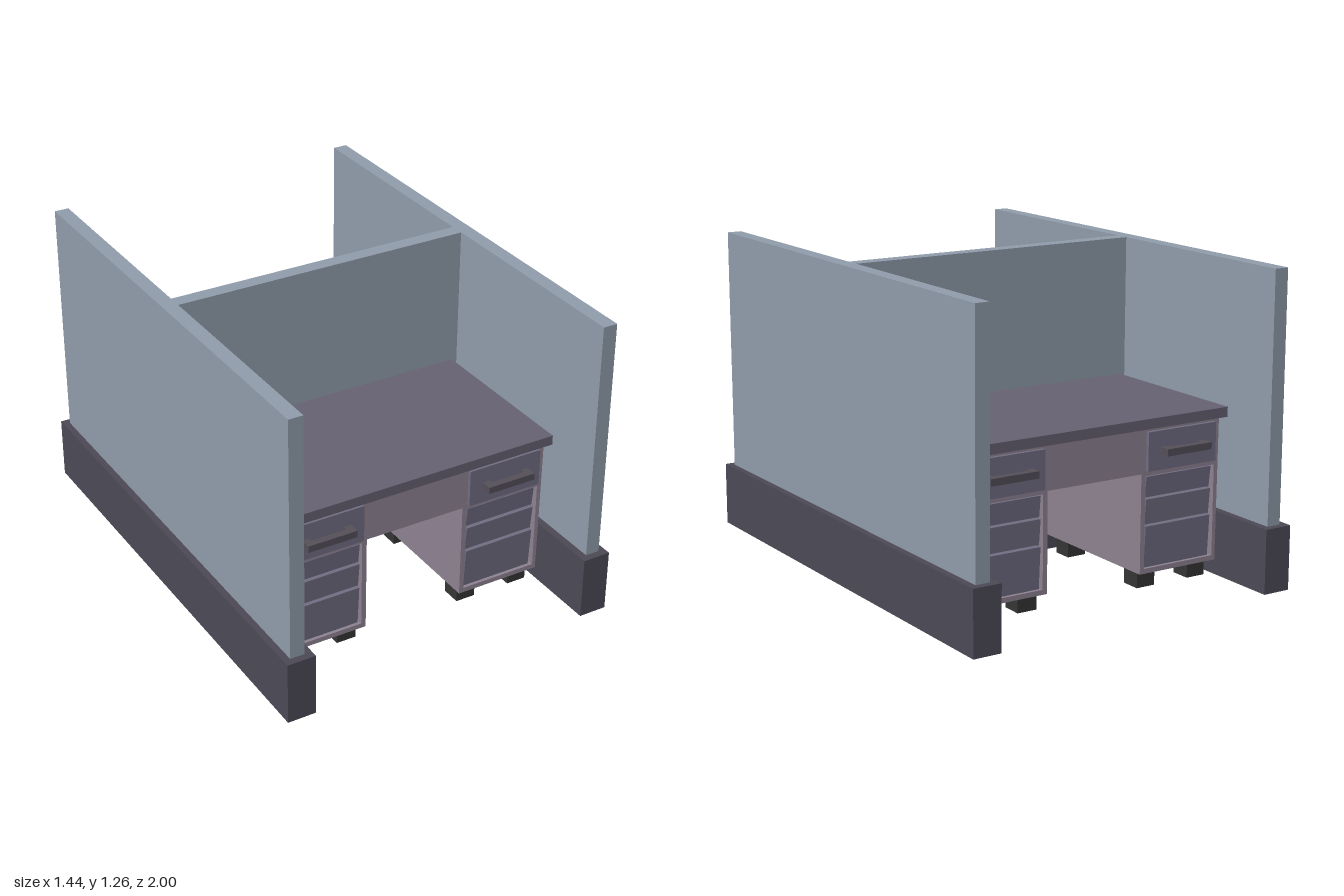
import * as THREE from 'three';

const mat = (color, side = THREE.FrontSide) => new THREE.MeshStandardMaterial({ color, side });
const panelMat = mat(0x8e9aa8), baseMat = mat(0x4b4855, THREE.DoubleSide), topMat = mat(0x656070);
const bodyMat = mat(0x8c808f), drawerMat = mat(0x6f6c81), handleMat = mat(0x544e58), footMat = mat(0x343434);

function add(parent, name, geometry, material) {
  const mesh = new THREE.Mesh(geometry, material);
  mesh.name = name;
  parent.add(mesh);
  return mesh;
}

// Box given by its limits on each axis
function box(x0, x1, y0, y1, z0, z1) {
  return new THREE.BoxGeometry(x1 - x0, y1 - y0, z1 - z0)
    .translate((x0 + x1) / 2, (y0 + y1) / 2, (z0 + z1) / 2);
}

const polygon = (points) => new THREE.Shape(points.map(([x, y]) => new THREE.Vector2(x, y)));

// H-shaped plan raised from y0 to y1
function hWall(outer, inner, end, half, y0, y1) {
  const plan = polygon([
    [-outer, -end], [-inner, -end], [-inner, -half], [inner, -half], [inner, -end], [outer, -end],
    [outer, end], [inner, end], [inner, half], [-inner, half], [-inner, end], [-outer, end],
  ]);
  return new THREE.ExtrudeGeometry(plan, { depth: y1 - y0, bevelEnabled: false })
    .rotateX(-Math.PI / 2).translate(0, y0, 0);
}

// Removes the lower cap (10 triangles) so the plinth is hollow underneath
function openBottom(geometry) {
  const open = new THREE.BufferGeometry();
  for (const key of ['position', 'normal']) {
    open.setAttribute(key, new THREE.BufferAttribute(geometry.attributes[key].array.slice(90), 3));
  }
  return open;
}

// Inverted U outline of the desk carcass
function carcassShape() {
  return polygon([
    [-0.58, 0.07], [-0.215, 0.07], [-0.215, 0.47], [0.215, 0.47],
    [0.215, 0.07], [0.58, 0.07], [0.585, 0.65], [-0.585, 0.65],
  ]);
}

// Drawer front whose lower edge leans back slightly
function slantedDrawer(x0, x1, y0, y1) {
  const g = box(x0, x1, y0, y1, 0.675, 0.711);
  const p = g.attributes.position;
  for (let i = 0; i < p.count; i++) {
    if (p.getZ(i) > 0.7 && p.getY(i) < (y0 + y1) / 2) p.setZ(i, 0.701);
  }
  g.computeVertexNormals();
  return g;
}

function createDesk() {
  const desk = new THREE.Group();
  add(desk, 'desktop', box(-0.607, 0.607, 0.65, 0.69, 0.03, 0.74), topMat);

  const carcass = new THREE.ExtrudeGeometry(carcassShape(), { depth: 0.635, bevelEnabled: false });
  add(desk, 'carcass', carcass.translate(0, 0, 0.05), bodyMat);

  // Face frame with a drawer opening on each side
  const frame = carcassShape();
  for (const s of [-1, 1]) {
    frame.holes.push(polygon([[s * 0.235, 0.09], [s * 0.565, 0.09], [s * 0.565, 0.46], [s * 0.235, 0.46]]));
  }
  const frameGeometry = new THREE.ExtrudeGeometry(frame, { depth: 0.03, bevelEnabled: false });
  add(desk, 'faceFrame', frameGeometry.translate(0, 0, 0.685), bodyMat);

  for (const s of [-1, 1]) {
    const pedestal = new THREE.Group();
    pedestal.name = s > 0 ? 'leftPedestal' : 'rightPedestal';
    pedestal.position.x = s * 0.398;
    desk.add(pedestal);

    add(pedestal, 'topDrawer', box(-0.162, 0.162, 0.48, 0.635, 0.7, 0.73), drawerMat);
    for (const [y0, y1] of [[0.09, 0.257], [0.263, 0.365], [0.371, 0.455]]) {
      add(pedestal, 'lowerDrawer', slantedDrawer(-0.155, 0.155, y0, y1), drawerMat);
    }

    // Bracket handle
    const bracket = polygon([
      [-0.105, -0.725], [-0.105, -0.777], [0.105, -0.777], [0.105, -0.725],
      [0.075, -0.725], [0.075, -0.748], [-0.075, -0.748], [-0.075, -0.725],
    ]);
    const handle = new THREE.ExtrudeGeometry(bracket, { depth: 0.028, bevelEnabled: false });
    add(pedestal, 'handle', handle.rotateX(-Math.PI / 2).translate(0, 0.543, 0), handleMat);

    for (const x of [-0.122, 0.122]) {
      for (const z of [0.16, 0.63]) {
        add(pedestal, 'foot', box(x - 0.042, x + 0.042, 0, 0.07, z - 0.042, z + 0.042), footMat);
      }
    }
  }
  return desk;
}

export function createModel() {
  const model = new THREE.Group();
  model.name = 'doubleCubicle';
  add(model, 'partitionPlinth', openBottom(hWall(0.718, 0.6, 1, 0.06, 0, 0.26)), baseMat);
  add(model, 'partitionPanels', hWall(0.69, 0.63, 0.97, 0.03, 0.26, 1.26), panelMat);

  // Two desks back to back
  const front = createDesk();
  front.name = 'frontDesk';
  const back = createDesk();
  back.name = 'backDesk';
  back.rotation.y = Math.PI;
  model.add(front, back);
  return model;
}
